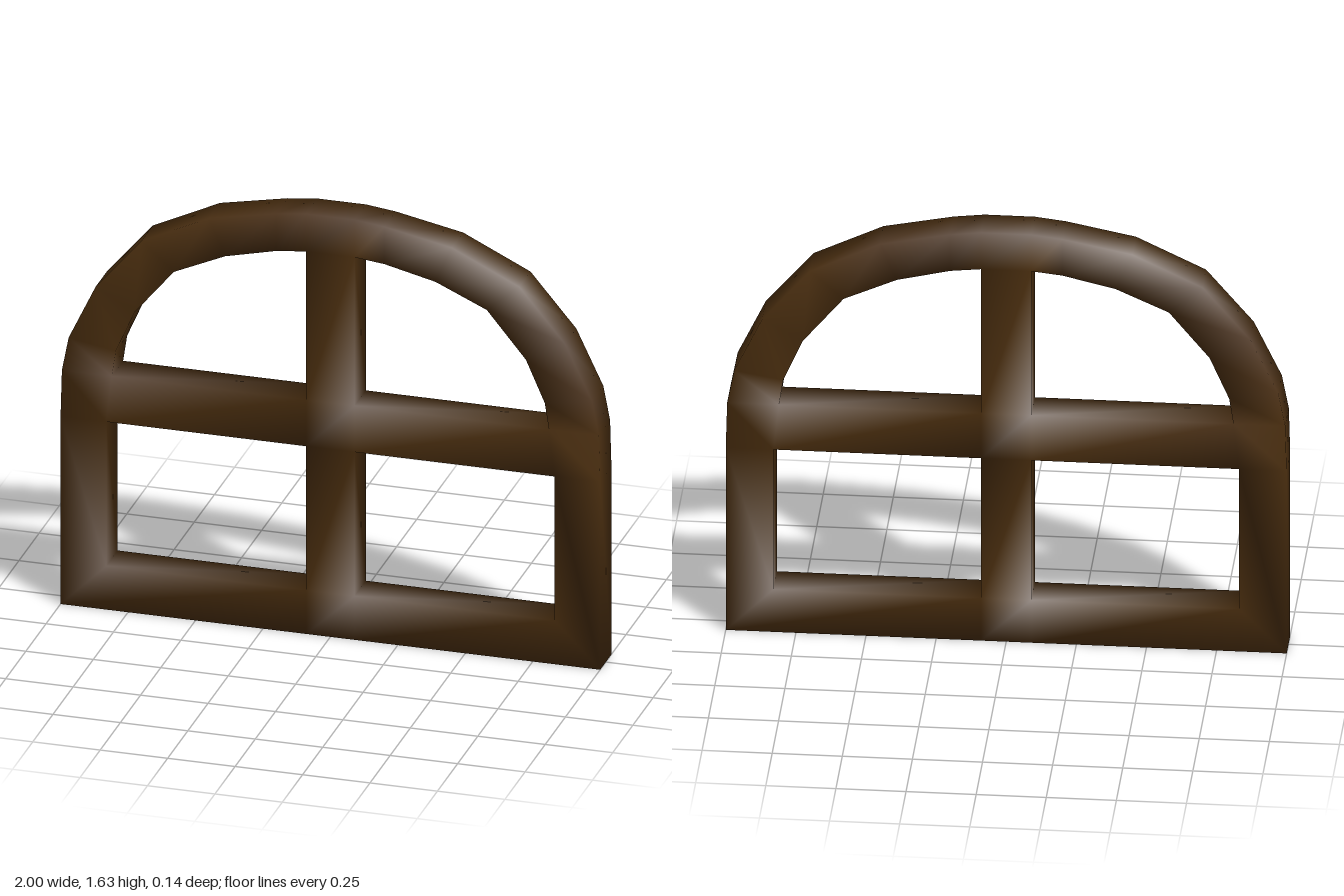
import * as THREE from 'three';

const HALF_DEPTH = 0.07;
const BAR = 0.09; // half width of the upright bar

// Matching outer and inner corners of the arched rim, from sill to crown
const OUTER = [[1, 0], [1, 0.73], [0.995, 0.91], [0.97, 1.04], [0.87, 1.25],
  [0.7, 1.45], [0.45, 1.57], [0.2, 1.62], [BAR, 1.633]];
const INNER = [[0.83, 0.17], [0.83, 0.73], [0.81, 0.91], [0.795, 1.01], [0.725, 1.17],
  [0.58, 1.345], [0.39, 1.43], [0.2, 1.475], [BAR, 1.487]];

// Lists the flat four-sided cells of the front, each with the part it belongs to
function makeCells() {
  const cells = [];
  const mirrored = (part, pts) => {
    cells.push({ part, pts });
    cells.push({ part, pts: pts.map(([x, y]) => [-x, y]).reverse() });
  };
  for (let i = 0; i < OUTER.length - 1; i++) {
    mirrored('archedRim', [OUTER[i], OUTER[i + 1], INNER[i + 1], INNER[i]]);
  }
  mirrored('sill', [[BAR, 0], OUTER[0], INNER[0], [BAR, 0.17]]);
  mirrored('crossBar', [[BAR, 0.73], INNER[1], INNER[2], [BAR, 0.91]]);
  const levels = [0, 0.17, 0.73, 0.91, 1.487, 1.633];
  for (let i = 0; i < levels.length - 1; i++) {
    const [lo, hi] = [levels[i], levels[i + 1]];
    cells.push({ part: 'uprightBar', pts: [[-BAR, lo], [BAR, lo], [BAR, hi], [-BAR, hi]] });
  }
  return cells;
}

export function createModel() {
  const group = new THREE.Group();
  group.name = 'archedWindowFrame';
  const wood = new THREE.MeshStandardMaterial({ color: 0x4a2e0f });
  wood.name = 'darkWood';

  // Shared corners: even indices at the front, odd at the back
  const positions = [];
  const lookup = new Map();
  const corner = ([x, y]) => {
    const key = `${x},${y}`;
    if (!lookup.has(key)) {
      lookup.set(key, positions.length / 3);
      positions.push(x, y, HALF_DEPTH, x, y, -HALF_DEPTH);
    }
    return lookup.get(key);
  };

  const cells = makeCells().map(({ part, pts }) => ({ part, ids: pts.map(corner) }));
  const edges = new Set();
  cells.forEach(({ ids }) => ids.forEach((a, i) => edges.add(`${a}>${ids[(i + 1) % 4]}`)));

  // Front and back faces, plus side walls wherever a cell has no neighbour
  const parts = {};
  for (const { part, ids } of cells) {
    const index = (parts[part] ??= []);
    const quad = (a, b, c, d) => index.push(a, b, c, a, c, d);
    const [a, b, c, d] = ids;
    quad(a, b, c, d);
    quad(d + 1, c + 1, b + 1, a + 1);
    ids.forEach((p, i) => {
      const q = ids[(i + 1) % 4];
      if (!edges.has(`${q}>${p}`)) quad(p + 1, q + 1, q, p);
    });
  }

  // Smooth normals taken over the whole joined frame
  const whole = new THREE.BufferGeometry();
  whole.setAttribute('position', new THREE.Float32BufferAttribute(positions, 3));
  whole.setIndex(Object.values(parts).flat());
  whole.computeVertexNormals();

  // One mesh per part, sharing the joined corners
  for (const [name, index] of Object.entries(parts)) {
    const geometry = new THREE.BufferGeometry();
    geometry.setAttribute('position', whole.getAttribute('position'));
    geometry.setAttribute('normal', whole.getAttribute('normal'));
    geometry.setIndex(index);
    const mesh = new THREE.Mesh(geometry, wood);
    mesh.name = name;
    group.add(mesh);
  }
  return group;
}
